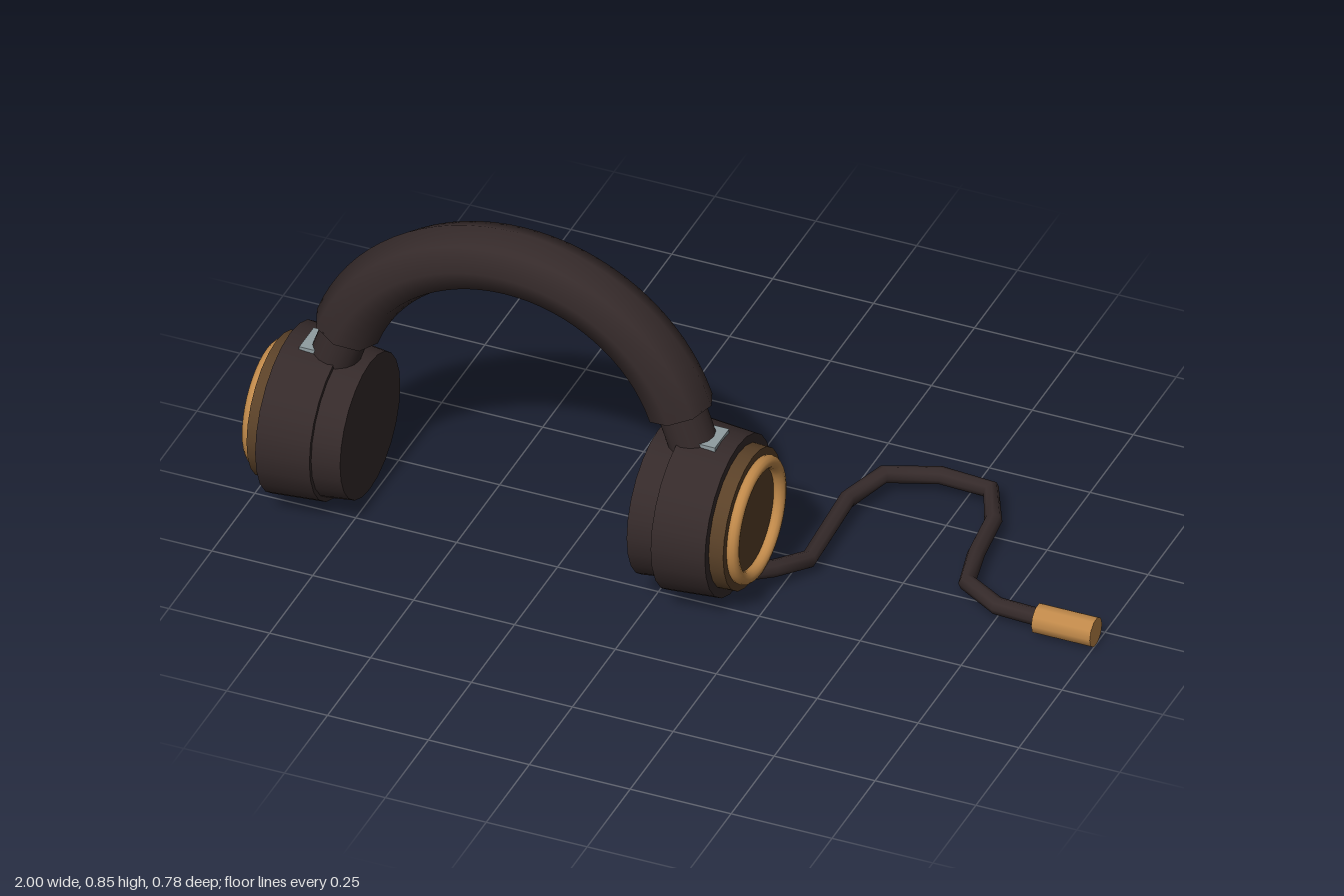
import * as THREE from 'three';

const mat = (name, color) => {
  const m = new THREE.MeshStandardMaterial({ color });
  m.name = name;
  return m;
};

export function createModel() {
  const dark = mat('darkBrown', 0x352a2a);
  const brown = mat('bronze', 0x5a4128);
  const gold = mat('gold', 0xc0894a);
  const grey = mat('steel', 0x8f9ca0);

  const model = new THREE.Group();
  model.name = 'headphones';
  const CX = -0.385, CY = 0.219, CZ = 0.185; // middle of the headset

  const add = (name, geometry, material, x, y, z, parent = model) => {
    const mesh = new THREE.Mesh(geometry, material);
    mesh.name = name;
    mesh.position.set(x, y, z);
    parent.add(mesh);
    return mesh;
  };
  // Cylinder lying along x; rNeg is the radius at its -x end
  const drum = (rNeg, rPos, x0, x1, sides = 24) =>
    new THREE.CylinderGeometry(rNeg, rPos, Math.abs(x1 - x0), sides).rotateZ(Math.PI / 2);

  // Padded headband: an open octagonal arc with closed ends
  const R = 0.437, tube = 0.08, bandY = 0.338, start = 0.335;
  const band = new THREE.TorusGeometry(R, tube, 8, 32, Math.PI - 2 * start).rotateZ(start);
  add('headband', band, dark, CX, bandY, CZ);

  for (const s of [-1, 1]) {
    const side = new THREE.Group();
    side.name = s < 0 ? 'rightEarpiece' : 'leftEarpiece';
    model.add(side);
    const part = (name, r0, r1, a, b, m) =>
      add(name, drum(r0, r1, a, b), m, CX + s * (a + b) / 2, CY, CZ, side);

    // Ear cup, from the ear outwards
    part('cushion', 0.184, 0.175, 0.357, 0.43, dark);
    part('cupShell', 0.204, 0.194, 0.425, 0.555, dark);
    part('outerPlate', 0.172, 0.17, 0.55, 0.59, brown);
    add('trimRing', new THREE.TorusGeometry(0.137, 0.016, 12, 40).rotateY(Math.PI / 2),
      gold, CX + s * 0.599, CY, CZ, side);

    // Hinge plate on top of the cup
    add('hingePlate', new THREE.BoxGeometry(0.1, 0.05, 0.083), grey, CX + s * 0.465, 0.397, CZ, side);

    // Band end cap and the stem that continues the arc
    const ex = CX + s * R * Math.cos(start), ey = bandY + R * Math.sin(start);
    const tilt = s * start;
    const cap = add('bandEnd', new THREE.CylinderGeometry(tube, tube, 0.004, 8).rotateY(Math.PI / 2),
      dark, ex, ey, CZ, side);
    cap.rotation.z = tilt;
    const stem = add('stem', new THREE.CylinderGeometry(0.058, 0.058, 0.16, 16), dark,
      ex + Math.sin(start) * s * 0.05, ey - Math.cos(start) * 0.05, CZ, side);
    stem.rotation.z = tilt;
  }

  // Cable: one tube ring per path point keeps the bends angular
  const points = [
    [0.195, 0.07, 0.185], [0.235, 0.058, 0.135], [0.285, 0.04, 0.045], [0.275, 0.045, -0.2],
    [0.315, 0.05, -0.32], [0.435, 0.048, -0.37], [0.56, 0.042, -0.37], [0.61, 0.036, -0.265],
    [0.625, 0.034, -0.13], [0.65, 0.033, -0.02], [0.75, 0.034, 0.04], [0.87, 0.037, 0.05],
  ].map((p) => new THREE.Vector3(...p));
  const path = new THREE.CatmullRomCurve3(points);
  path.getPointAt = (u, target) => path.getPoint(u, target);
  path.getTangentAt = (u, target) => path.getTangent(u, target);
  add('cable', new THREE.TubeGeometry(path, points.length - 1, 0.021, 8), dark, 0, 0, 0);

  // Plug at the cable's end
  add('plug', drum(0.036, 0.036, 0.855, 1, 10), gold, 0.9275, 0.037, 0.053);

  return model;
}
